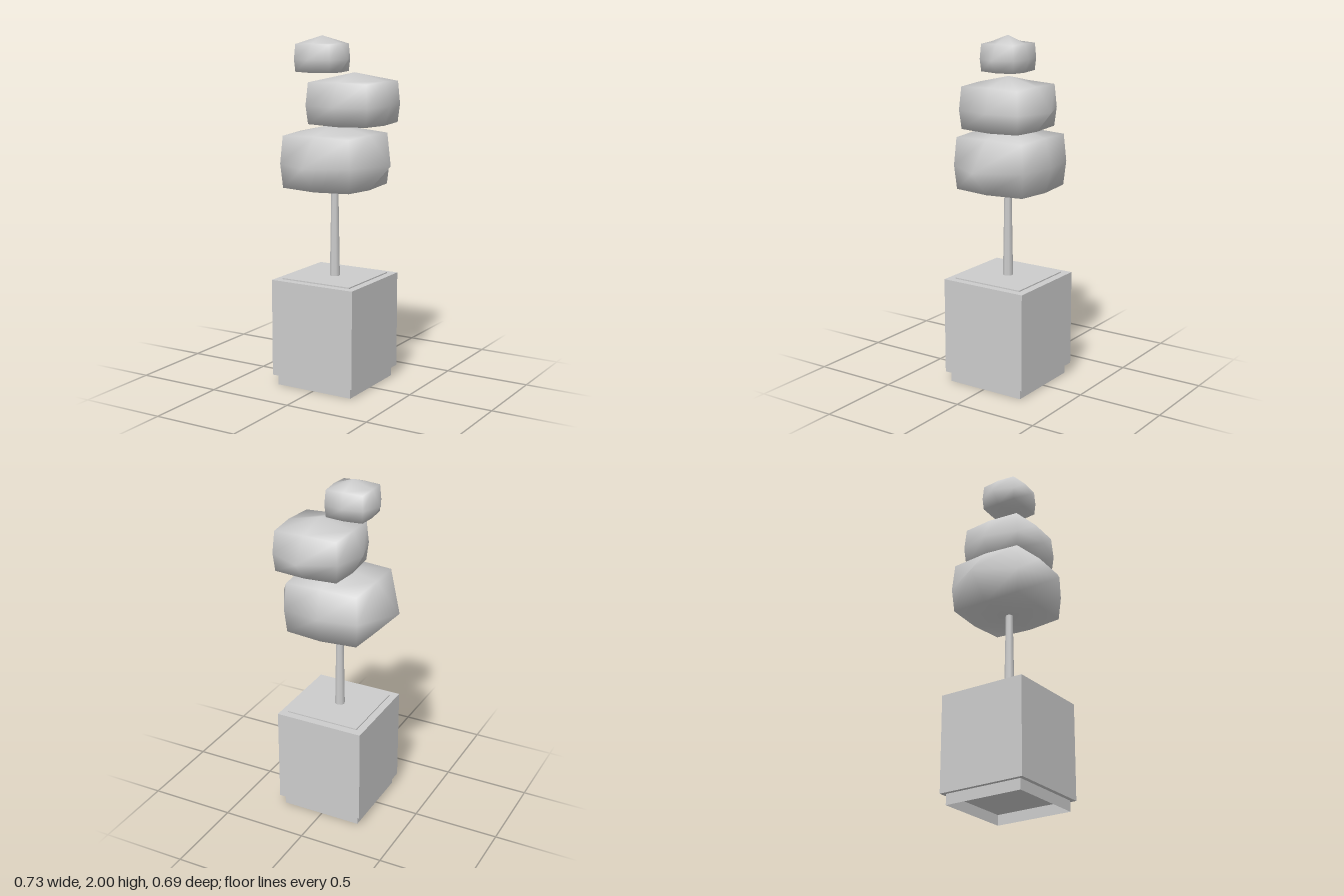
import * as THREE from 'three';
import { mergeVertices } from 'three/addons/utils/BufferGeometryUtils.js';

// Rounded low-poly clump: a 2x2x2 box whose corners, edges and face centres are pulled into place.
// Each axis is [low tip, low shoulder, centre, high shoulder, high tip].
function clumpGeometry(xs, ys, zs) {
  const g = new THREE.BoxGeometry(2, 2, 2, 2, 2, 2);
  g.deleteAttribute('uv');
  g.deleteAttribute('normal');
  const geo = mergeVertices(g);
  const p = geo.attributes.position;
  const place = (axis, side, ring) => {
    if (side === 0) return axis[2];
    if (ring === 1) return axis[side < 0 ? 0 : 4];
    const shoulder = axis[side < 0 ? 1 : 3];
    return ring === 3 ? axis[2] + (shoulder - axis[2]) * 0.95 : shoulder;
  };
  for (let i = 0; i < p.count; i++) {
    const s = [p.getX(i), p.getY(i), p.getZ(i)].map(Math.round);
    const ring = s.filter((v) => v !== 0).length;
    p.setXYZ(i, place(xs, s[0], ring), place(ys, s[1], ring), place(zs, s[2], ring));
  }
  geo.computeVertexNormals();
  return geo;
}

export function createModel() {
  const model = new THREE.Group();
  const grey = new THREE.MeshStandardMaterial({ color: 0xcccccc, side: THREE.DoubleSide });
  grey.name = 'lightGrey';

  const add = (name, geometry, x = 0, y = 0, z = 0) => {
    const mesh = new THREE.Mesh(geometry, grey);
    mesh.name = name;
    mesh.position.set(x, y, z);
    model.add(mesh);
    return mesh;
  };
  const cx = 0.005, cz = -0.01;

  // Planter box, soil slab and open-bottomed plinth
  add('planter', new THREE.BoxGeometry(0.526, 0.563, 0.53), cx, 0.3435, cz);
  add('soil', new THREE.BoxGeometry(0.44, 0.01, 0.44), cx, 0.627, cz);
  const plinth = new THREE.CylinderGeometry(0.24 * Math.SQRT2, 0.24 * Math.SQRT2, 0.062, 4, 1, true)
    .rotateY(Math.PI / 4).toNonIndexed();
  plinth.computeVertexNormals();
  add('plinth', plinth, cx, 0.031, cz);

  // Tapered trunk
  add('trunk', new THREE.CylinderGeometry(0.02, 0.03, 0.56, 8), 0.004, 0.905, -0.005);

  // Three stacked foliage clumps
  add('lowerFoliage', clumpGeometry(
    [-0.365, -0.225, 0, 0.225, 0.36],
    [1.145, 1.145, 1.29, 1.455, 1.505],
    [-0.29, -0.25, -0.01, 0.21, 0.343]));
  add('middleFoliage', clumpGeometry(
    [-0.17, -0.108, 0.094, 0.285, 0.323],
    [1.505, 1.505, 1.615, 1.75, 1.795],
    [-0.345, -0.255, -0.07, 0.127, 0.176]));
  add('topFoliage', clumpGeometry(
    [-0.22, -0.17, -0.054, 0.06, 0.11],
    [1.797, 1.797, 1.87, 1.958, 2],
    [-0.105, -0.078, 0.035, 0.147, 0.192]));

  return model;
}
